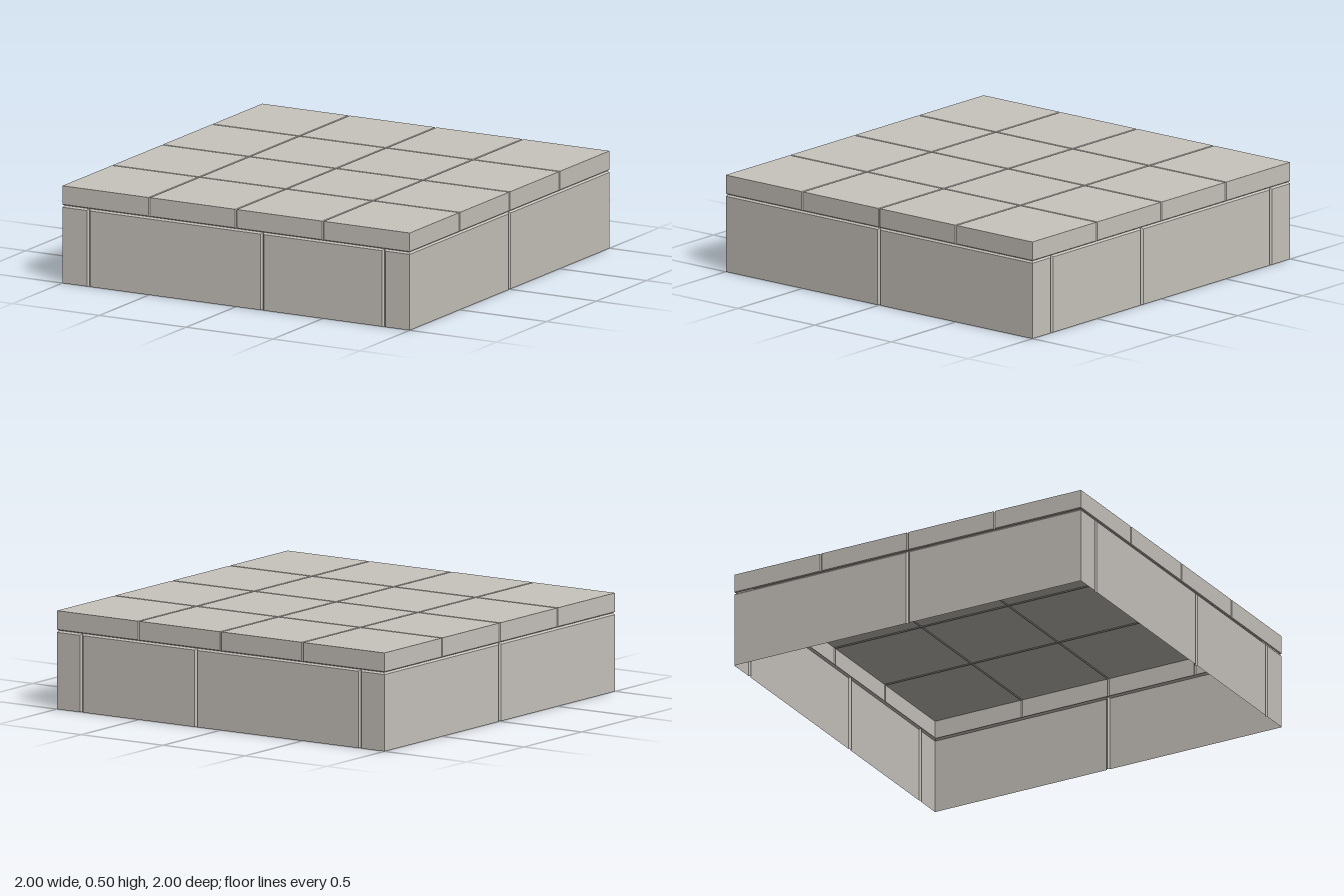
import * as THREE from 'three';

// One raised stone face in the local XY plane at height z. Edges that lie on a joint
// slope down into a V-groove; edges on the model's outline stay sharp.
// cell = [x0, x1, y0, y1], joints = [left, right, bottom, top], limits = clamp for groove ends
function panel(cell, joints, z, groove, limits) {
  const [x0, x1, y0, y1] = cell;
  const inset = joints.map((j) => (j ? groove : 0));
  const face = [
    [x0 + inset[0], y0 + inset[2], z], [x1 - inset[1], y0 + inset[2], z],
    [x1 - inset[1], y1 - inset[3], z], [x0 + inset[0], y1 - inset[3], z],
  ];
  const clamp = THREE.MathUtils.clamp;
  const root = [[x0, y0], [x1, y0], [x1, y1], [x0, y1]].map(([x, y]) => [
    clamp(x, limits[0], limits[1]), clamp(y, limits[2], limits[3]), z - groove,
  ]);
  const points = [];
  const quad = (a, b, c, d) => points.push(...a, ...b, ...c, ...a, ...c, ...d);
  quad(...face);
  const edgeJoint = [joints[2], joints[1], joints[3], joints[0]];
  for (let i = 0; i < 4; i++) {
    const n = (i + 1) % 4;
    if (edgeJoint[i]) quad(root[i], root[n], face[n], face[i]);
  }
  const geometry = new THREE.BufferGeometry();
  geometry.setAttribute('position', new THREE.Float32BufferAttribute(points, 3));
  geometry.computeVertexNormals();
  return geometry;
}

export function createModel() {
  const model = new THREE.Group();
  model.name = 'stonePlatform';
  const stone = new THREE.MeshStandardMaterial({ color: 0xc8c4bd, side: THREE.DoubleSide });

  const height = 0.5, seam = 0.4;
  const tileGroove = 0.005, blockGroove = 0.01;
  const tileLines = [-1, -0.5, 0, 0.5, 1];

  const add = (parent, name, geometry) => {
    const mesh = new THREE.Mesh(geometry, stone);
    mesh.name = name;
    parent.add(mesh);
  };

  // Paved top, four by four tiles
  const paving = new THREE.Group();
  paving.name = 'pavingTop';
  paving.rotation.x = -Math.PI / 2;
  const t = 1 - tileGroove;
  for (let i = 0; i < 4; i++) {
    for (let j = 0; j < 4; j++) {
      add(paving, 'pavingTile', panel(
        [tileLines[i], tileLines[i + 1], tileLines[j], tileLines[j + 1]],
        [i > 0, i < 3, j > 0, j < 3], height, tileGroove, [-t, t, -t, t]));
    }
  }
  model.add(paving);

  // Four sides: tile edges above, larger wall blocks below
  const sides = [
    ['front', [-1, -0.85, 0.15, 0.85, 1]],
    ['left', [-1, 0, 1]],
    ['back', [-1, -0.85, -0.15, 0.85, 1]],
    ['right', [-1, 0, 1]],
  ];
  const b = 1 - blockGroove;
  sides.forEach(([name, blockLines], k) => {
    const side = new THREE.Group();
    side.name = name + 'Side';
    side.rotation.y = k * Math.PI / 2;
    for (let i = 0; i < 4; i++) {
      add(side, 'tileEdge', panel(
        [tileLines[i], tileLines[i + 1], seam, height],
        [i > 0, i < 3, true, false], 1, tileGroove, [-t, t, seam, height - tileGroove]));
    }
    const last = blockLines.length - 2;
    for (let i = 0; i <= last; i++) {
      add(side, 'wallBlock', panel(
        [blockLines[i], blockLines[i + 1], 0, seam],
        [i > 0, i < last, false, true], 1, blockGroove, [-b, b, 0, seam]));
    }
    model.add(side);
  });

  return model;
}
